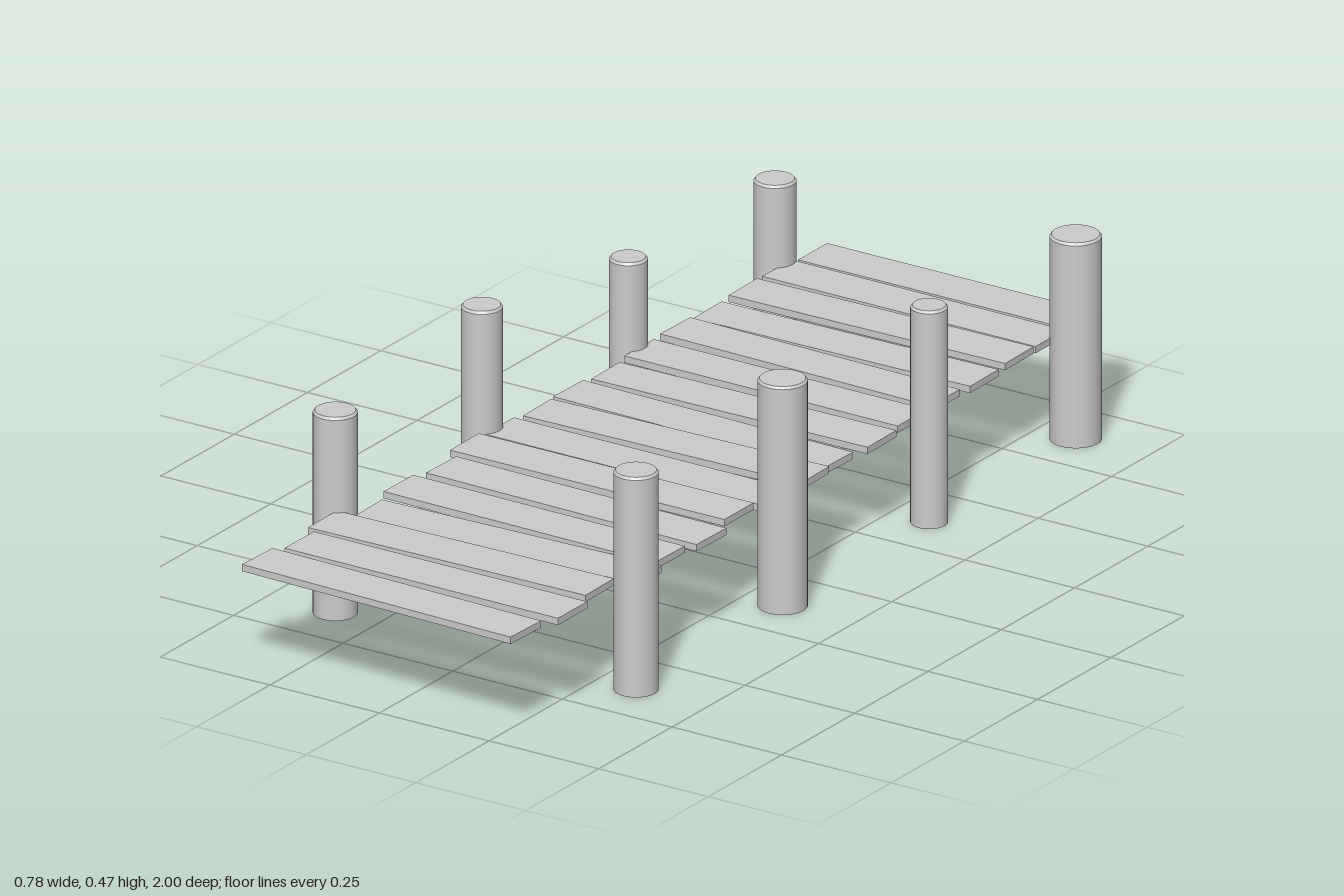
import * as THREE from 'three';

const material = new THREE.MeshStandardMaterial({ color: 0xcccccc });
const postMaterial = new THREE.MeshStandardMaterial({ color: 0xcccccc, side: THREE.DoubleSide });

// Round post, open underneath, with a small chamfer around the flat top
function makePost(name, x, z, radius, height) {
  const c = 0.005;
  const V = (r, y) => new THREE.Vector2(r, y);
  const group = new THREE.Group();
  group.name = name;
  const sections = {
    postShaft: [V(radius, 0), V(radius, height - c)],
    postChamfer: [V(radius, height - c), V(radius - c * 0.8, height)],
    postTop: [V(radius - c * 0.8, height), V(0, height)],
  };
  for (const [part, profile] of Object.entries(sections)) {
    const mesh = new THREE.Mesh(new THREE.LatheGeometry(profile, 32), postMaterial);
    mesh.name = part;
    group.add(mesh);
  }
  group.position.set(x, 0, z);
  return group;
}

export function createModel() {
  const model = new THREE.Group();
  model.name = 'pier';

  // Deck planks, back to front: x offset, height, z, drop in z from right end to left end
  const planks = [
    [-0.005, 0.198, -0.952, 0],
    [-0.01, 0.202, -0.837, 0.002],
    [-0.005, 0.207, -0.719, -0.009],
    [-0.008, 0.199, -0.603, -0.011],
    [-0.01, 0.203, -0.484, 0.014],
    [-0.01, 0.2, -0.367, 0.002],
    [-0.005, 0.196, -0.25, -0.009],
    [-0.016, 0.195, -0.128, 0.013],
    [0, 0.204, -0.012, -0.014],
    [-0.01, 0.203, 0.11, 0.002],
    [-0.01, 0.211, 0.227, -0.002],
    [0.011, 0.207, 0.345, 0.012],
    [-0.005, 0.207, 0.465, 0.008],
    [0.013, 0.205, 0.582, -0.02],
    [-0.016, 0.214, 0.698, -0.012],
    [0.005, 0.214, 0.815, 0.002],
    [-0.016, 0.214, 0.935, 0.018],
  ];
  const length = 0.625;
  const plankGeometry = new THREE.BoxGeometry(length, 0.014, 0.1);
  const deck = new THREE.Group();
  deck.name = 'deck';
  planks.forEach(([x, y, z, skew], i) => {
    const plank = new THREE.Mesh(plankGeometry, material);
    plank.name = `plank${i + 1}`;
    plank.position.set(x, y, z);
    plank.rotation.y = -Math.atan2(skew, length);
    deck.add(plank);
  });
  model.add(deck);

  // Four pairs of posts: z, then radius and height on each side
  const pairs = [
    [-0.87, 0.05, 0.42, 0.041, 0.377],
    [-0.37, 0.036, 0.446, 0.037, 0.388],
    [0.13, 0.048, 0.467, 0.04, 0.461],
    [0.63, 0.043, 0.45, 0.043, 0.416],
  ];
  pairs.forEach(([z, rl, hl, rr, hr], i) => {
    model.add(makePost(`leftPost${i + 1}`, 0.338, z, rl, hl));
    model.add(makePost(`rightPost${i + 1}`, -0.348, z, rr, hr));
  });

  return model;
}
